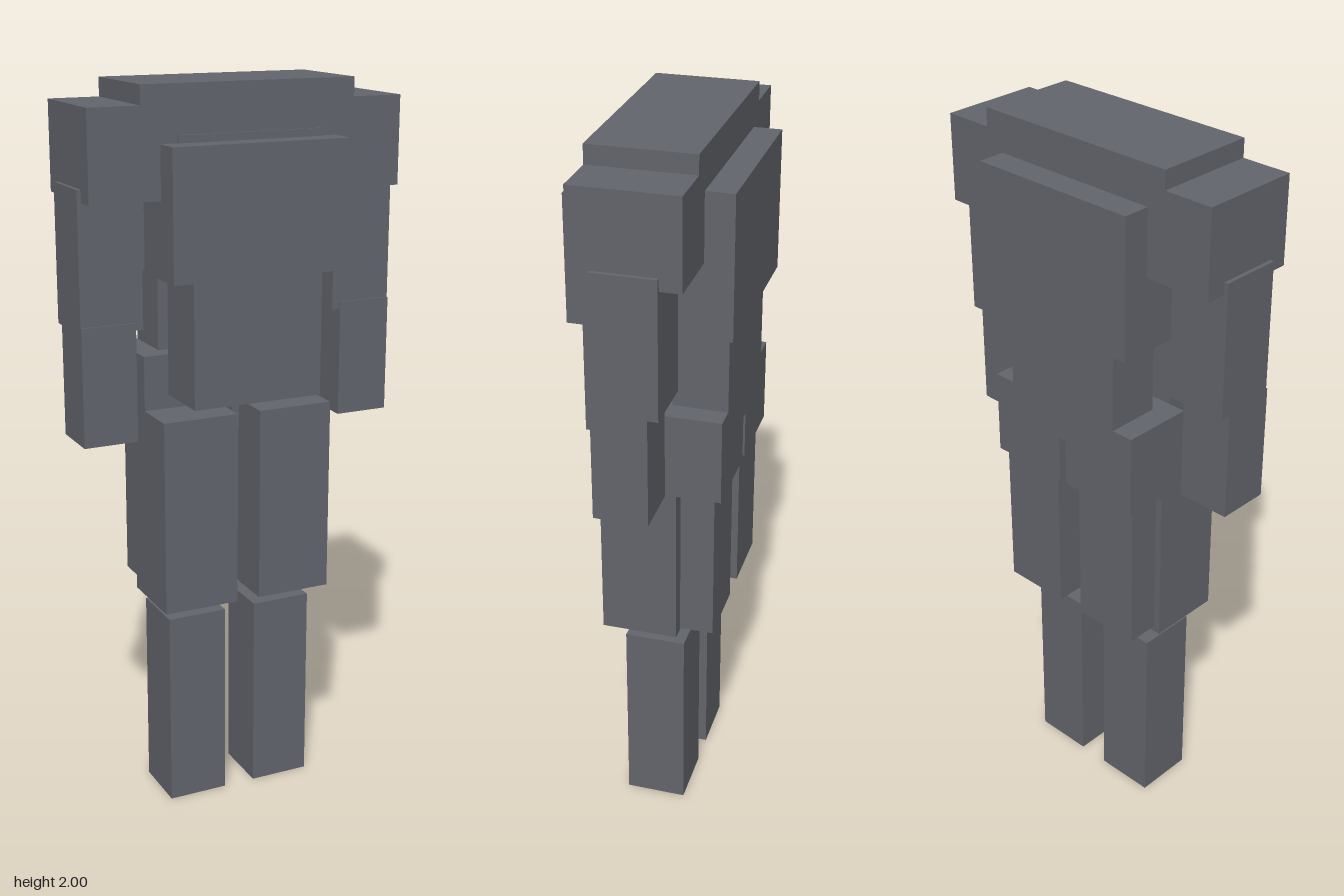
import * as THREE from 'three';

export function createModel() {
  const group = new THREE.Group();
  const armourGrey = new THREE.MeshStandardMaterial({ color: 0x62656c });

  // Box given by its limits on each axis
  function block(name, [x0, x1], [y0, y1], [z0, z1]) {
    const mesh = new THREE.Mesh(new THREE.BoxGeometry(x1 - x0, y1 - y0, z1 - z0), armourGrey);
    mesh.name = name;
    mesh.position.set((x0 + x1) / 2, (y0 + y1) / 2, (z0 + z1) / 2);
    group.add(mesh);
  }

  // Same box on both sides of the body
  function pair(name, [x0, x1], y, z) {
    block(name + 'Left', [x0, x1], y, z);
    block(name + 'Right', [-x1, -x0], y, z);
  }

  // Collar and shoulders
  block('collar', [-0.298, 0.298], [1.715, 2], [-0.139, 0.139]);
  pair('shoulder', [0.298, 0.437], [1.715, 1.95], [-0.139, 0.139]);

  // Chest and back plates, with a narrow gap between the halves
  block('chestPlate', [-0.246, 0.246], [1.515, 1.855], [0.025, 0.214]);
  block('chestLip', [-0.2, 0.2], [1.8, 1.875], [0.1, 0.146]);
  block('backPlate', [-0.246, 0.246], [1.515, 1.895], [-0.214, -0.025]);

  // Waist plates
  block('bellyPlate', [-0.183, 0.183], [1.18, 1.515], [0.025, 0.195]);
  block('lowerBackPlate', [-0.183, 0.183], [1.285, 1.515], [-0.19, -0.042]);

  // Seat with a slot at the bottom centre
  block('seatTop', [-0.246, 0.246], [1.185, 1.287], [-0.19, 0.01]);
  pair('seatSide', [0.012, 0.246], [1.053, 1.185], [-0.19, 0.01]);

  // Arms
  pair('upperArm', [0.277, 0.448], [1.38, 1.748], [-0.083, 0.085]);
  pair('forearm', [0.299, 0.448], [1.083, 1.4], [-0.055, 0.09]);

  // Legs
  pair('thighFront', [0.033, 0.246], [0.6, 1.138], [-0.07, 0.14]);
  pair('thighBack', [0.04, 0.234], [0.625, 1.053], [-0.17, -0.078]);
  pair('shin', [0.045, 0.214], [0, 0.556], [-0.083, 0.085]);

  return group;
}
